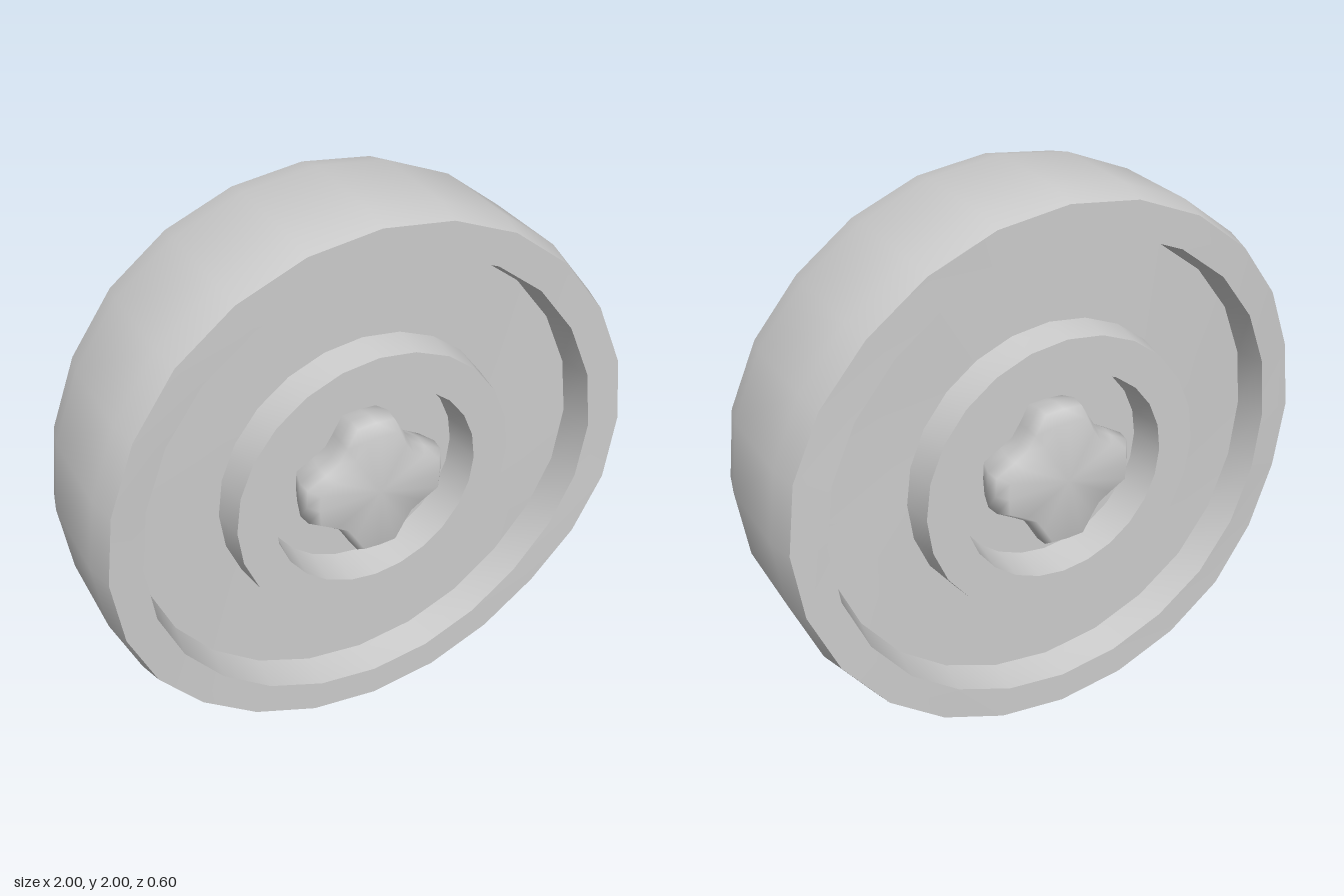
import * as THREE from 'three';
import { toCreasedNormals, mergeVertices } from 'three/addons/utils/BufferGeometryUtils.js';

const SEGMENTS = 24;
const MID_Z = -0.014;
const material = new THREE.MeshStandardMaterial({ color: 0xcccccc });

// Lathe whose axis points along +z
function latheZ(points) {
  const geometry = new THREE.LatheGeometry(points.map(([r, z]) => new THREE.Vector2(r, z)), SEGMENTS);
  geometry.rotateX(Math.PI / 2);
  geometry.deleteAttribute('uv');
  geometry.deleteAttribute('normal');
  return mergeVertices(geometry, 1e-4);
}

// Wheel body: the half profile is mirrored, then the sides bend forward
function wheelGeometry() {
  const half = [
    [1.0, 0.17], [0.975, 0.27], [0.855, 0.27], [0.835, 0.15],
    [0.535, 0.15], [0.52, 0.265], [0.385, 0.265], [0.37, 0.13], [0, 0.13],
  ];
  const back = half.map(([r, z]) => [r, -z]).reverse();
  const geometry = latheZ([...back, ...half]);
  const p = geometry.attributes.position;
  for (let i = 0; i < p.count; i++) {
    const t = THREE.MathUtils.clamp((Math.abs(p.getX(i)) - 0.62) / 0.32, 0, 1);
    p.setZ(i, p.getZ(i) + 0.038 * Math.pow(t, 1.5));
  }
  return toCreasedNormals(geometry, Math.PI / 6);
}

// Four-lobed hub cap: a rounded disc whose radius changes with the angle
function capGeometry() {
  const geometry = latheZ([[0.9, 0.12], [1, 0.2], [0.98, 0.25], [0.87, 0.29], [0, 0.29]]);
  const lobeRadii = [0.265, 0.27, 0.22, 0.2, 0.22, 0.27];
  const p = geometry.attributes.position;
  for (let i = 0; i < p.count; i++) {
    const step = Math.round(Math.atan2(p.getY(i), p.getX(i)) / (Math.PI / 12));
    const r = lobeRadii[(step + SEGMENTS) % 6];
    p.setXY(i, p.getX(i) * r, p.getY(i) * r);
  }
  geometry.computeVertexNormals();
  return geometry;
}

export function createModel() {
  const wheel = new THREE.Group();
  wheel.name = 'wheel';
  wheel.position.set(0, 1, MID_Z);

  const body = new THREE.Mesh(wheelGeometry(), material);
  body.name = 'wheelBody';
  wheel.add(body);

  // One cap on each side
  const cap = capGeometry();
  for (const [name, turn] of [['frontHubCap', 0], ['backHubCap', Math.PI]]) {
    const mesh = new THREE.Mesh(cap, material);
    mesh.name = name;
    mesh.rotation.y = turn;
    wheel.add(mesh);
  }

  const model = new THREE.Group();
  model.name = 'model';
  model.add(wheel);
  return model;
}
